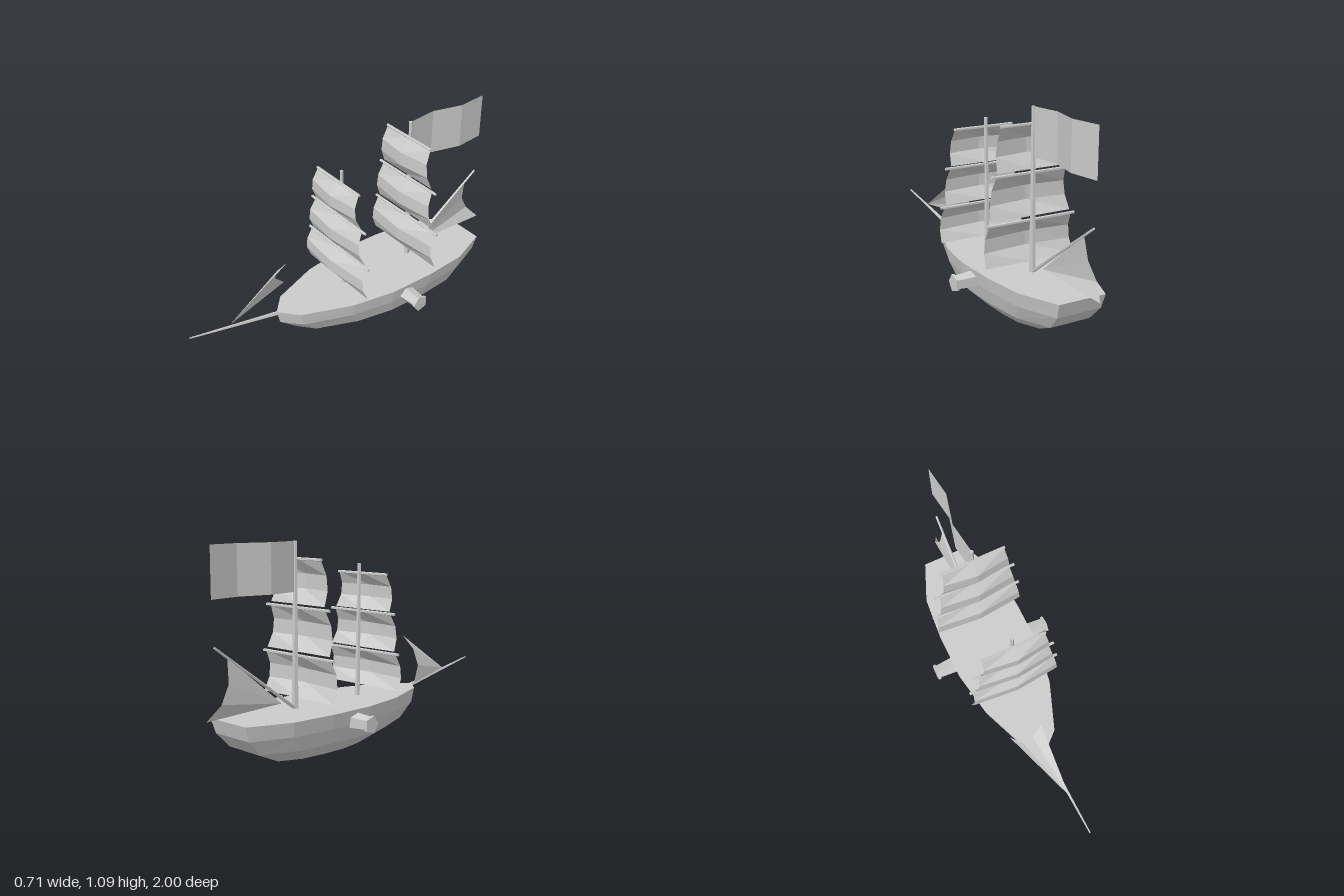
import * as THREE from 'three';

const mat = new THREE.MeshStandardMaterial({ color: 0xcccccc, flatShading: true });
const cloth = new THREE.MeshStandardMaterial({ color: 0xcccccc, flatShading: true, side: THREE.DoubleSide });
const V = (x, y, z) => new THREE.Vector3(x, y, z);

function meshFrom(name, points, index, material) {
  const g = new THREE.BufferGeometry().setFromPoints(points);
  g.setIndex(index);
  const flat = g.toNonIndexed();
  flat.computeVertexNormals();
  const m = new THREE.Mesh(flat, material);
  m.name = name;
  return m;
}

// Tapered five-sided pole between two points
function spar(name, a, b, ra, rb) {
  const m = new THREE.Mesh(new THREE.CylinderGeometry(rb, ra, a.distanceTo(b), 5), mat);
  m.position.copy(a).lerp(b, 0.5);
  m.quaternion.setFromUnitVectors(V(0, 1, 0), b.clone().sub(a).normalize());
  m.name = name;
  return m;
}

// Cloth stretched between rows of points of equal length
function clothGrid(name, rows) {
  const n = rows[0].length, index = [];
  for (let r = 0; r < rows.length - 1; r++)
    for (let c = 0; c < n - 1; c++) {
      const a = r * n + c, b = a + n;
      index.push(a, b, a + 1, a + 1, b, b + 1);
    }
  return meshFrom(name, rows.flat(), index, cloth);
}

// Triangular sail fanning from its tack to points along the free edge
function fanSail(name, tip, edge) {
  const index = [];
  for (let i = 1; i < edge.length; i++) index.push(0, i, i + 1);
  return meshFrom(name, [tip, ...edge], index, cloth);
}

function hull() {
  // Deck outline, bow to stern: half width, z
  const half = [[0, 0.48], [0.1, 0.39], [0.205, 0.12], [0.248, -0.13], [0.248, -0.4], [0.225, -0.65], [0.135, -0.87]];
  const ring = [...half, ...half.slice(1).reverse().map(([x, z]) => [-x, z])];
  // Levels: y, width factor, stern z, bow z
  const levels = [[0, 0.57, -0.62, 0.1], [0.07, 0.86, -0.77, 0.36], [0.15, 0.95, -0.845, 0.46], [0.228, 1, -0.87, 0.48]];
  const pts = [], index = [], n = ring.length;
  for (const [y, w, z0, z1] of levels)
    for (const [x, z] of ring) pts.push(V(x * w, y, z0 + ((z + 0.87) / 1.35) * (z1 - z0)));
  for (let l = 0; l < levels.length - 1; l++)
    for (let i = 0; i < n; i++) {
      const a = l * n + i, b = l * n + (i + 1) % n;
      index.push(a, b, b + n, a, b + n, a + n);
    }
  // Flat bottom and deck
  const top = (levels.length - 1) * n;
  for (let i = 1; i < n - 1; i++) index.push(0, i + 1, i, top, top + i, top + i + 1);
  return meshFrom('hull', pts, index, mat);
}

// Yard with a billowing square sail hung beneath it
function squareSail(yardY, z, yardHalf, bottomY, topHalf, bottomHalf) {
  const g = new THREE.Group();
  g.name = 'squareSail';
  g.add(spar('yard', V(-yardHalf, yardY, z), V(yardHalf, yardY, z), 0.008, 0.008));
  const rows = [0, 1, 2, 3].map((r) => {
    const t = r / 3, billow = r === 1 || r === 2 ? 1 : 0;
    const w = THREE.MathUtils.lerp(topHalf, bottomHalf, t);
    const y = THREE.MathUtils.lerp(yardY, bottomY, t);
    return [-1, 0, 1].map((s) => V(s * w, y, z + billow * (s === 0 ? 0.055 : 0.03)));
  });
  g.add(clothGrid('sail', rows));
  return g;
}

// Side gun with a flared muzzle
function cannon(side) {
  const g = new THREE.Group();
  g.name = side > 0 ? 'leftCannon' : 'rightCannon';
  const at = (x) => V(side * x, 0.165, -0.235);
  g.add(spar('barrel', at(0.2), at(0.342), 0.05, 0.039));
  g.add(spar('muzzle', at(0.341), at(0.356), 0.048, 0.048));
  return g;
}

export function createModel() {
  const ship = new THREE.Group();
  ship.name = 'sailingShip';
  ship.add(hull(), cannon(1), cannon(-1));

  // Masts and bowsprit
  ship.add(spar('foreMast', V(0, 0.22, 0.028), V(0, 0.95, 0.042), 0.014, 0.01));
  ship.add(spar('mainMast', V(0, 0.22, -0.432), V(0, 1.085, -0.422), 0.018, 0.01));
  ship.add(spar('bowsprit', V(0, 0.212, 0.44), V(0, 0.319, 0.999), 0.012, 0.004));

  // Three square sails on each mast: yard y, bottom y
  const sizes = [[0.265, 0.245, 0.265], [0.235, 0.205, 0.235], [0.18, 0.175, 0.2]];
  const fore = [[0.475, 0.28], [0.688, 0.49], [0.895, 0.7]];
  const main = [[0.5, 0.28], [0.747, 0.52], [0.995, 0.765]];
  sizes.forEach(([yard, top, bottom], i) => {
    ship.add(squareSail(fore[i][0], 0.065, yard, fore[i][1], top, bottom));
    ship.add(squareSail(main[i][0], -0.413, yard, main[i][1], top, bottom));
  });

  // Bow jib
  ship.add(fanSail('jib', V(-0.004, 0.283, 0.765),
    [V(0, 0.52, 0.4), V(-0.06, 0.445, 0.425), V(-0.11, 0.357, 0.41), V(-0.15, 0.27, 0.33)]));

  // Stern gaff and its sail
  ship.add(spar('gaff', V(0, 0.23, -0.435), V(0, 0.6, -0.94), 0.01, 0.006));
  ship.add(fanSail('sternSail', V(0, 0.268, -0.525),
    [V(0, 0.545, -0.865), V(-0.02, 0.42, -0.875), V(-0.034, 0.33, -0.93), V(-0.004, 0.253, -1)]));

  // Rippled flag
  const xs = [0, -0.022, 0.022, 0];
  ship.add(clothGrid('flag', [1.084, 0.828].map((y) => xs.map((x, i) => V(x, y, -0.425 - i * 0.176)))));
  return ship;
}
